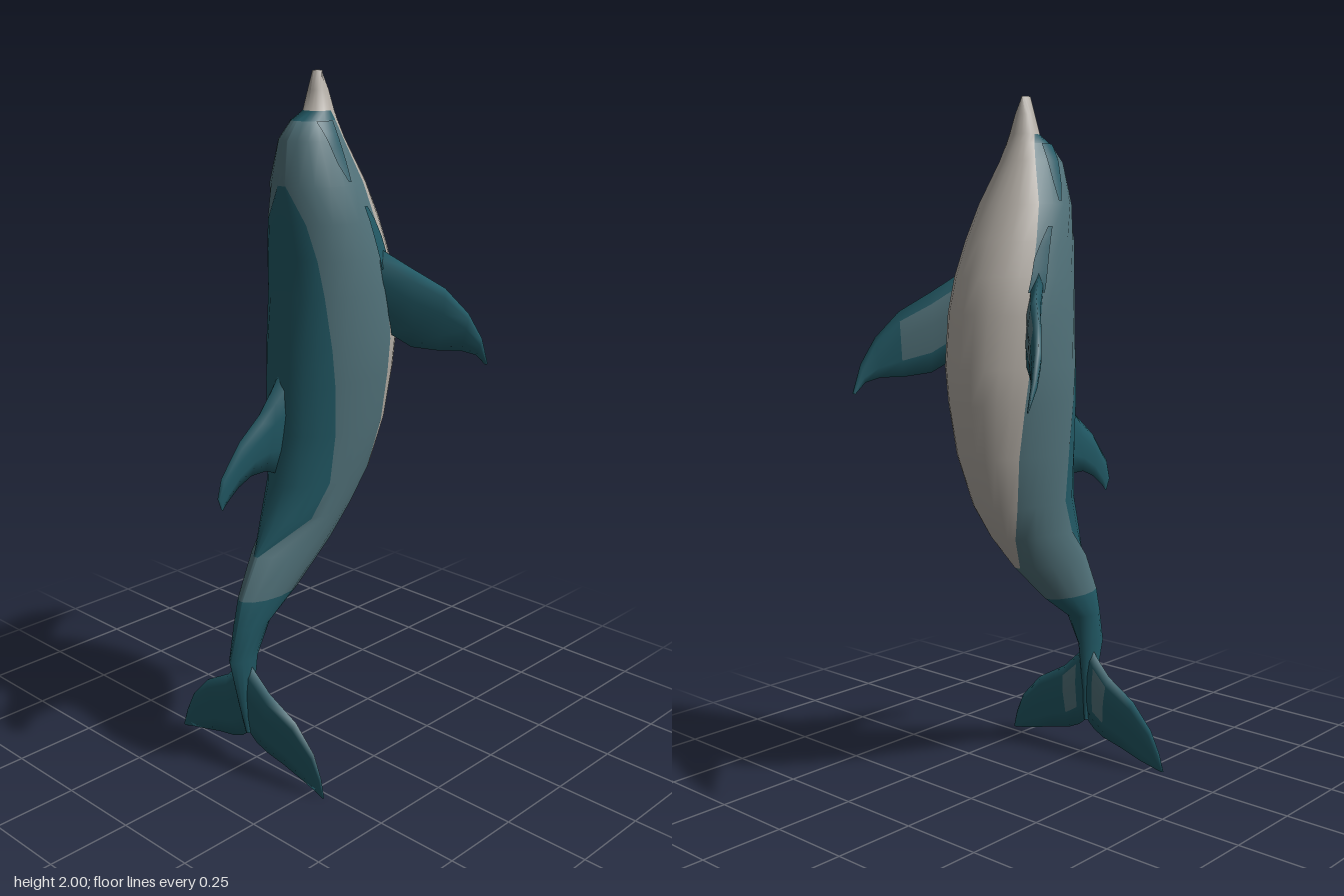
import * as THREE from 'three';

const flat = (name, color) => {
  const m = new THREE.MeshStandardMaterial({ color, side: THREE.DoubleSide });
  m.name = name;
  return m;
};

// Body sections, nose to tail: y, back z, belly z, half width, cape edge z, belly colour edge z
const STATIONS = [
  [2.002, -0.008, -0.012, 0.002, 9, -9],
  [2.0, 0.005, -0.026, 0.012, 9, -9],
  [1.95, 0.018, -0.045, 0.026, 9, -0.02],
  [1.895, 0.03, -0.06, 0.042, 9, -0.02],
  [1.87, 0.075, -0.07, 0.055, 9, -0.03],
  [1.82, 0.115, -0.09, 0.08, 9, -0.045],
  [1.7, 0.13, -0.155, 0.125, 9, -0.08],
  [1.6, 0.135, -0.205, 0.142, 0.11, -0.11],
  [1.5, 0.133, -0.245, 0.155, 0.09, -0.14],
  [1.4, 0.13, -0.27, 0.162, 0.075, -0.145],
  [1.25, 0.14, -0.285, 0.163, 0.06, -0.16],
  [1.15, 0.15, -0.28, 0.153, 0.05, -0.165],
  [1.0, 0.155, -0.255, 0.136, 0.04, -0.165],
  [0.85, 0.165, -0.2, 0.112, 0.045, -0.14],
  [0.75, 0.2, -0.135, 0.092, 0.1, -0.11],
  [0.65, 0.245, -0.05, 0.075, 9, -9],
  [0.53, 0.305, 0.085, 0.055, 9, -9],
  [0.45, 0.325, 0.2, 0.04, 9, -9],
  [0.35, 0.35, 0.245, 0.026, 9, -9],
  [0.2, 0.315, 0.265, 0.016, 9, -9],
  [0.1, 0.29, 0.27, 0.008, 9, -9],
];

// Skin closed rings of Vector3; matOf(row, col) picks the material of each quad
function loft(rings, matOf) {
  const n = rings[0].length;
  const pts = rings.flat();
  const buckets = [[], [], []];
  let volume = 0;
  for (let i = 0; i < rings.length - 1; i++) {
    for (let j = 0; j < n; j++) {
      const a = i * n + j, b = i * n + (j + 1) % n, c = a + n, d = b + n;
      for (const t of [[a, c, b], [b, c, d]]) {
        volume += pts[t[0]].dot(pts[t[1]].clone().cross(pts[t[2]]));
        buckets[matOf(i, j)].push(t);
      }
    }
  }
  const g = new THREE.BufferGeometry().setFromPoints(pts);
  const index = [];
  buckets.forEach((tris, m) => {
    if (!tris.length) return;
    g.addGroup(index.length, tris.length * 3, m);
    // keep faces pointing outward
    for (const t of tris) index.push(...(volume < 0 ? [t[0], t[2], t[1]] : t));
  });
  g.setIndex(index);
  g.computeVertexNormals();
  return g;
}

// Fin with lens-shaped sections: [lead, trail, half thickness]
function finGeometry(sections, normal, mirror, patchRows) {
  const n = new THREE.Vector3(...normal).normalize();
  const rings = sections.map(([lead, trail, h]) => {
    const p = new THREE.Vector3(...lead), q = new THREE.Vector3(...trail);
    return [[0, 0], [0.15, 0.8], [0.4, 1], [0.75, 0.6], [1, 0], [0.75, -0.6], [0.4, -1], [0.15, -0.8]]
      .map(([t, s]) => {
        const v = p.clone().lerp(q, t).addScaledVector(n, s * h);
        v.x *= mirror;
        return v;
      });
  });
  return loft(rings, (i, j) => (patchRows.includes(i) && (j === 5 || j === 6) ? 1 : 0));
}

// Half width of the body at height y and depth z
function surfaceX(y, z) {
  const k = Math.max(1, STATIONS.findIndex((s) => s[0] <= y));
  const A = STATIONS[k - 1], B = STATIONS[k];
  const t = (A[0] - y) / (A[0] - B[0]);
  const [zd, zb, w] = [1, 2, 3].map((i) => A[i] + (B[i] - A[i]) * t);
  const c = THREE.MathUtils.clamp((z - (zd + zb) / 2) / ((zd - zb) / 2), -1, 1);
  return w * Math.sqrt(1 - c * c);
}

// Thin marking that follows the side of the body: rows of [y, z from, z to]
function markingGeometry(rows, side) {
  const cols = 4, steps = (rows.length - 1) * 3;
  const g = new THREE.PlaneGeometry(1, 1, cols, steps);
  const pos = g.attributes.position;
  for (let i = 0; i <= steps; i++) {
    const k = Math.min(Math.floor(i / 3), rows.length - 2), t = i / 3 - k;
    const [y, z0, z1] = rows[k].map((v, m) => v + (rows[k + 1][m] - v) * t);
    for (let j = 0; j <= cols; j++) {
      const z = z0 + ((z1 - z0) * j) / cols;
      pos.setXYZ(i * (cols + 1) + j, side * (surfaceX(y, z) + 0.005), y, z);
    }
  }
  if (side < 0) g.index.array.reverse();
  g.computeVertexNormals();
  return g;
}

export function createModel() {
  const group = new THREE.Group();
  const teal = flat('dark teal', 0x225a66);
  const grey = flat('blue grey', 0x52737b);
  const pale = flat('pale belly', 0xb3ada5);
  const mats = [teal, grey, pale];
  const add = (name, geometry, material) => {
    const m = new THREE.Mesh(geometry, material);
    m.name = name;
    group.add(m);
  };

  // Body: columns follow the cape and belly colour edges
  const CAPE = 4, FLANK = 6, BELLY = 5, HALF = CAPE + FLANK + BELLY;
  const rings = STATIONS.map(([y, zd, zb, w, zCape, zBelly]) => {
    const zc = (zd + zb) / 2, rz = (zd - zb) / 2;
    const angle = (z) => THREE.MathUtils.clamp(
      Math.acos(THREE.MathUtils.clamp((z - zc) / rz, -1, 1)), 0.12, Math.PI - 0.15);
    const t1 = angle(zCape), t2 = angle(zBelly);
    const thetas = [];
    for (let j = 0; j <= HALF; j++) {
      if (j <= CAPE) thetas.push((t1 * j) / CAPE);
      else if (j <= CAPE + FLANK) thetas.push(t1 + ((t2 - t1) * (j - CAPE)) / FLANK);
      else thetas.push(t2 + ((Math.PI - t2) * (j - CAPE - FLANK)) / BELLY);
    }
    for (let j = HALF - 1; j > 0; j--) thetas.push(2 * Math.PI - thetas[j]);
    return thetas.map((t) => new THREE.Vector3(w * Math.sin(t), y, zc + rz * Math.cos(t)));
  });
  const bodyMat = (i, j) => {
    const col = j < HALF ? j : 2 * HALF - 1 - j;
    if (i < 3) return 2; // beak
    if (i >= 16) return 0; // tail stock
    if (col >= CAPE + FLANK) return i < 15 ? 2 : 1;
    if (i === 3) return 0; // band at the beak base
    return col < CAPE && i >= 6 && i < 15 ? 0 : 1;
  };
  add('body', loft(rings, bodyMat), mats);

  // Dorsal fin
  add('dorsalFin', finGeometry([
    [[0, 1.21, 0.12], [0, 0.87, 0.12], 0.034],
    [[0, 1.135, 0.172], [0, 0.9, 0.2], 0.024],
    [[0, 1.075, 0.22], [0, 0.9, 0.255], 0.018],
    [[0, 1.01, 0.3], [0, 0.878, 0.305], 0.013],
    [[0, 0.92, 0.37], [0, 0.855, 0.335], 0.008],
    [[0, 0.865, 0.385], [0, 0.838, 0.355], 0.005],
    [[0, 0.83, 0.372], [0, 0.825, 0.366], 0.001],
  ], [1, 0, 0], 1, []), mats);

  for (const [side, label] of [[1, 'left'], [-1, 'right']]) {
    // Flipper
    add(label + 'Flipper', finGeometry([
      [[0.13, 1.53, -0.1], [0.13, 1.27, -0.16], 0.022],
      [[0.2, 1.455, -0.195], [0.19, 1.225, -0.205], 0.017],
      [[0.265, 1.4, -0.26], [0.245, 1.213, -0.265], 0.014],
      [[0.312, 1.325, -0.312], [0.29, 1.212, -0.31], 0.012],
      [[0.333, 1.25, -0.35], [0.318, 1.198, -0.345], 0.009],
      [[0.335, 1.168, -0.38], [0.328, 1.166, -0.375], 0.002],
    ], [0.76, 0, 0.65], side, [0, 1]), mats);

    // Tail fluke
    add(label + 'Fluke', finGeometry([
      [[0, 0.35, 0.29], [0, 0.1, 0.28], 0.018],
      [[0.035, 0.31, 0.283], [0.03, 0.075, 0.278], 0.02],
      [[0.09, 0.257, 0.278], [0.07, 0.057, 0.275], 0.019],
      [[0.19, 0.2, 0.272], [0.14, 0.042, 0.272], 0.014],
      [[0.26, 0.125, 0.27], [0.22, 0.02, 0.27], 0.009],
      [[0.29, 0.06, 0.272], [0.265, 0.01, 0.272], 0.006],
      [[0.305, 0.005, 0.275], [0.295, 0.002, 0.275], 0.002],
    ], [0, 0, 1], side, [1]), mats);

    // Eye patch and the stripe leading to the flipper
    add(label + 'EyePatch', markingGeometry([
      [1.87, 0.045, -0.01], [1.82, 0.035, -0.012], [1.76, 0.02, -0.015], [1.71, -0.004, -0.014],
    ], side), teal);
    add(label + 'FlipperStripe', markingGeometry([
      [1.64, -0.055, -0.07], [1.6, -0.07, -0.1], [1.55, -0.085, -0.13], [1.46, -0.11, -0.16],
    ], side), teal);
  }
  return group;
}
